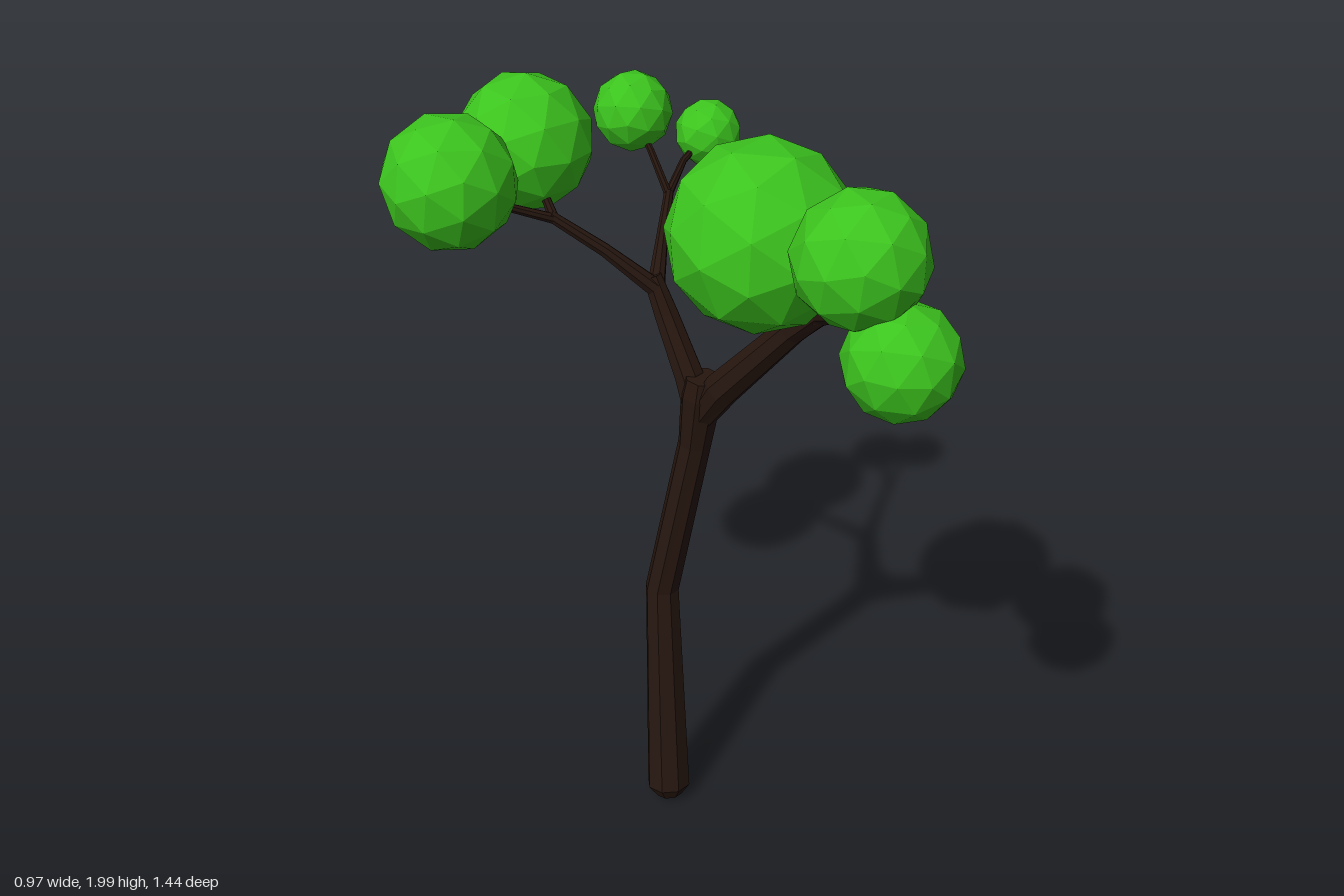
import * as THREE from 'three';

const bark = new THREE.MeshStandardMaterial({ color: 0x26160f, flatShading: true });
const leaf = new THREE.MeshStandardMaterial({ color: 0x3cc41e, flatShading: true });
const SIDES = 8;

// Faceted limb lofted through points [x, y, z, radius], capped at both ends
function limbGeometry(points) {
  const centres = points.map(p => new THREE.Vector3(p[0], p[1], p[2]));
  const last = points.length - 1;
  const positions = [], index = [];
  points.forEach((p, i) => {
    const tangent = centres[Math.min(i + 1, last)].clone()
      .sub(centres[Math.max(i - 1, 0)]).normalize();
    // u and v span the ring, with u x v along the tangent
    const v = new THREE.Vector3(1, 0, 0).cross(tangent).normalize();
    const u = v.clone().cross(tangent).normalize();
    for (let s = 0; s < SIDES; s++) {
      const a = (s + 0.5) / SIDES * Math.PI * 2;
      const q = centres[i].clone()
        .addScaledVector(u, Math.cos(a) * p[3])
        .addScaledVector(v, Math.sin(a) * p[3]);
      positions.push(q.x, q.y, q.z);
    }
  });
  for (let i = 0; i < last; i++) {
    for (let s = 0; s < SIDES; s++) {
      const a = i * SIDES + s, b = i * SIDES + (s + 1) % SIDES;
      index.push(a, b, b + SIDES, a, b + SIDES, a + SIDES);
    }
  }
  for (let s = 1; s < SIDES - 1; s++) {
    const e = last * SIDES;
    index.push(0, s + 1, s, e, e + s, e + s + 1);
  }
  const g = new THREE.BufferGeometry();
  g.setAttribute('position', new THREE.Float32BufferAttribute(positions, 3));
  g.setIndex(index);
  g.computeVertexNormals();
  return g;
}

export function createModel() {
  const tree = new THREE.Group();
  tree.name = 'tree';

  // Trunk, limbs and twigs
  const limbs = {
    trunk: [[-0.125, 0.01, -0.115, 0.035], [-0.12, 0.045, -0.12, 0.06], [-0.05, 0.65, -0.185, 0.045],
      [0, 1.1, -0.11, 0.042], [0.01, 1.24, -0.095, 0.052], [0.012, 1.29, -0.09, 0.045]],
    frontLimb: [[0.005, 1.17, -0.1, 0.035], [0.01, 1.28, -0.03, 0.046], [0.02, 1.5, 0.165, 0.036],
      [0.02, 1.575, 0.245, 0.034], [-0.03, 1.625, 0.37, 0.02], [-0.085, 1.665, 0.48, 0.014]],
    backLimb: [[0.005, 1.17, -0.1, 0.035], [0.012, 1.28, -0.135, 0.038],
      [0.02, 1.42, -0.21, 0.031], [0.018, 1.51, -0.25, 0.024]],
    bigCrownTwig: [[0.02, 1.55, 0.23, 0.03], [0.02, 1.64, 0.245, 0.018], [-0.06, 1.74, 0.21, 0.012]],
    upperFrontTwig: [[-0.08, 1.655, 0.47, 0.015], [-0.1, 1.75, 0.525, 0.011], [-0.16, 1.82, 0.5, 0.009]],
    lowerFrontTwig: [[-0.075, 1.66, 0.465, 0.014], [-0.14, 1.67, 0.53, 0.01], [-0.18, 1.66, 0.58, 0.009]],
    backLeafyBranch: [[0.018, 1.48, -0.235, 0.024], [-0.06, 1.585, -0.33, 0.017], [-0.14, 1.675, -0.425, 0.014]],
    backOuterTwig: [[-0.13, 1.665, -0.415, 0.013], [-0.24, 1.72, -0.48, 0.01], [-0.31, 1.77, -0.54, 0.009]],
    backInnerTwig: [[-0.135, 1.665, -0.415, 0.013], [-0.11, 1.73, -0.48, 0.01], [-0.08, 1.79, -0.55, 0.009]],
    sideBranch: [[0.02, 1.485, -0.24, 0.022], [0.11, 1.56, -0.295, 0.015], [0.2, 1.64, -0.345, 0.012]],
    upperSideTwig: [[0.195, 1.63, -0.34, 0.011], [0.21, 1.73, -0.41, 0.009], [0.235, 1.79, -0.48, 0.008]],
    lowerSideTwig: [[0.19, 1.632, -0.342, 0.011], [0.3, 1.68, -0.38, 0.009], [0.39, 1.72, -0.38, 0.008]],
  };
  for (const [name, points] of Object.entries(limbs)) {
    const mesh = new THREE.Mesh(limbGeometry(points), bark);
    mesh.name = name;
    tree.add(mesh);
  }

  // Faceted leaf balls: x, y, z, radius
  const balls = {
    bigFrontLeaves: [-0.12, 1.79, 0.18, 0.213],
    upperFrontLeaves: [-0.19, 1.85, 0.48, 0.148],
    lowerFrontLeaves: [-0.19, 1.655, 0.59, 0.129],
    backOuterLeaves: [-0.33, 1.79, -0.55, 0.16],
    backInnerLeaves: [-0.07, 1.805, -0.56, 0.166],
    upperSideLeaves: [0.235, 1.805, -0.485, 0.099],
    lowerSideLeaves: [0.4, 1.722, -0.38, 0.085],
  };
  Object.entries(balls).forEach(([name, [x, y, z, r]], i) => {
    const mesh = new THREE.Mesh(new THREE.IcosahedronGeometry(r, 1), leaf);
    mesh.name = name;
    mesh.position.set(x, y, z);
    mesh.rotation.set(i * 1.3 + 0.4, i * 2.1, i * 0.7);
    tree.add(mesh);
  });
  return tree;
}
